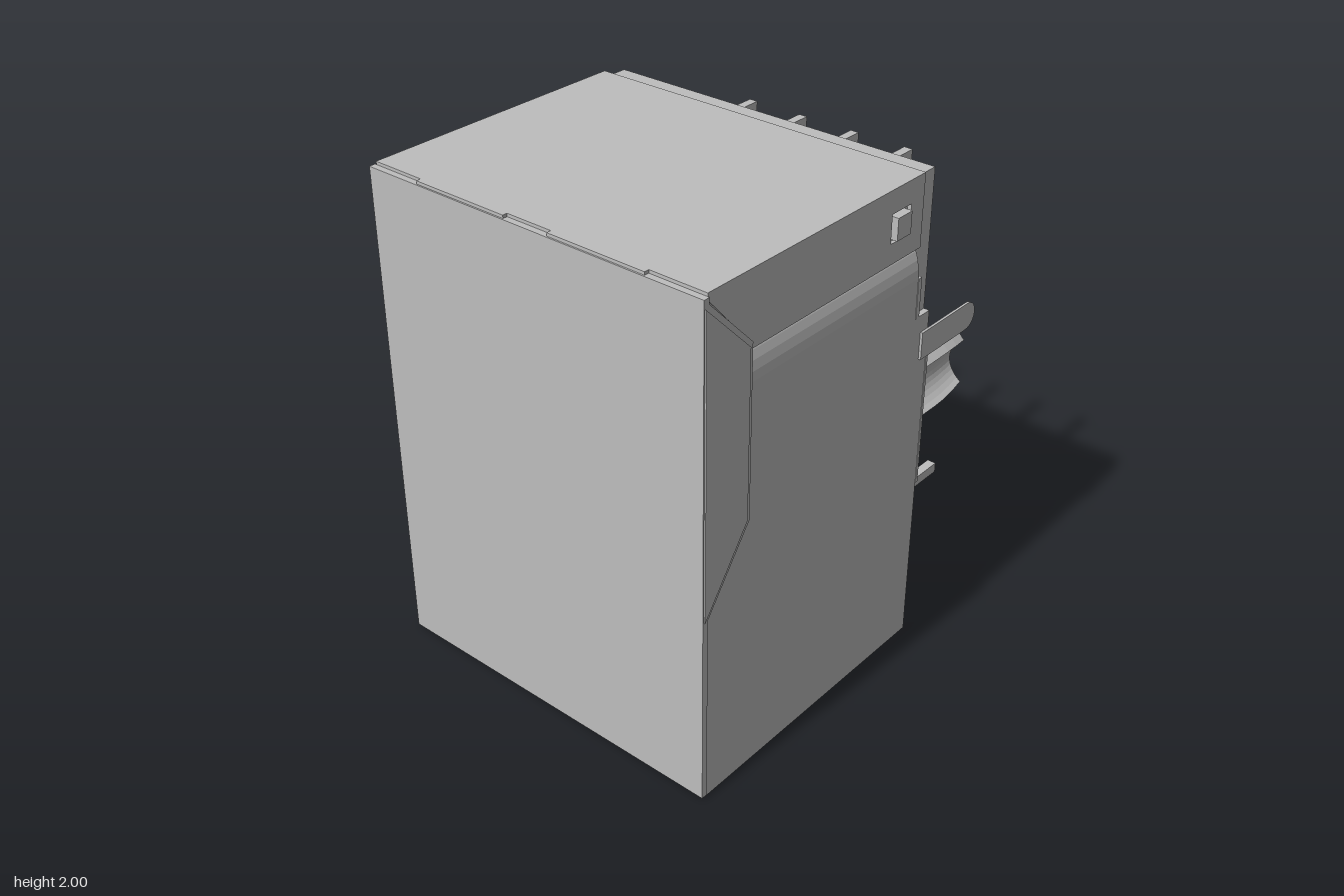
import * as THREE from 'three';

export function createModel() {
  const root = new THREE.Group();
  const grey = new THREE.MeshStandardMaterial({ color: 0xbebebe, side: THREE.DoubleSide });
  grey.name = 'plainGrey';

  const add = (name, geo) => {
    const m = new THREE.Mesh(geo, grey);
    m.name = name;
    root.add(m);
    return m;
  };
  // box given by its lower and upper limits
  const box = (name, x0, x1, y0, y1, z0, z1) => {
    const m = add(name, new THREE.BoxGeometry(x1 - x0, y1 - y0, z1 - z0));
    m.position.set((x0 + x1) / 2, (y0 + y1) / 2, (z0 + z1) / 2);
    return m;
  };
  const poly = (pts) => new THREE.Shape(pts.map(([a, b]) => new THREE.Vector2(a, b)));
  const extrude = (shape, depth, extra = {}) =>
    new THREE.ExtrudeGeometry(shape, { depth, bevelEnabled: false, curveSegments: 8, ...extra });
  // floor-plan outline in (x, z), raised from y0 to y1
  const plan = (name, pts, holes, y0, y1) => {
    const flip = (p) => p.map(([x, z]) => [x, -z]);
    const s = poly(flip(pts));
    s.holes = holes.map((h) => poly(flip(h)));
    const m = add(name, extrude(s, y1 - y0).rotateX(-Math.PI / 2));
    m.position.y = y0;
  };
  // side outline in (z, y), standing at x0 and reaching to x1
  const sidePlate = (name, shape, x0, x1) => {
    const m = add(name, extrude(shape, x1 - x0).rotateY(-Math.PI / 2));
    m.position.x = x1;
    return m;
  };

  const W = 0.738, BACK = -0.428, FRONT = 0.805;

  // plug opening with latch notch, and two indicator recesses
  const port = [[-0.58, 0.6], [0.58, 0.6], [0.58, -0.02], [0.28, -0.02], [0.28, -0.3],
    [-0.28, -0.3], [-0.28, -0.02], [-0.58, -0.02]];
  const lampHole = (s) => [[s * 0.36, -0.34], [s * 0.64, -0.34], [s * 0.64, -0.13], [s * 0.36, -0.13]];

  // lower body, with rear slots for the indicator leads
  const pinX = [-0.62, -0.38, 0.38, 0.62];
  const slotted = [[-W, FRONT], [-W, BACK]];
  pinX.forEach((x) => slotted.push([x - 0.03, BACK], [x - 0.03, BACK + 0.06], [x + 0.03, BACK + 0.06], [x + 0.03, BACK]));
  slotted.push([W, BACK], [W, FRONT]);
  plan('lowerBody', slotted, [port, lampHole(1), lampHole(-1)], 0, 0.59);
  plan('middleBody', [[-W, FRONT], [-W, BACK], [W, BACK], [W, FRONT]], [port], 0.59, 1.1);

  // upper body, whose sides curve inward beneath the lid
  const half = [[W, 1.1], [W, 1.6], [0.736, 1.635], [0.73, 1.67], [0.72, 1.7], [0.71, 1.72], [0.71, 1.985]];
  const profile = poly([...half, ...half.slice().reverse().map(([x, y]) => [-x, y])]);
  add('upperBody', extrude(profile, FRONT + 0.34)).position.z = -0.34;
  box('rearBodyLow', -W, W, 1.1, 1.44, BACK, -0.34);
  box('rearBodyHigh', -0.715, 0.715, 1.44, 1.985, BACK, -0.34);

  // lid and front plate of the shield
  box('lid', -0.735, 0.735, 1.985, 2, -0.34, 0.795);
  for (const x of [-0.305, 0.3]) box('lidTab', x - 0.205, x + 0.205, 1.978, 2, 0.78, 0.814);
  box('frontPlate', -0.742, 0.742, 0.008, 1.988, 0.795, 0.82);

  for (const s of [-1, 1]) {
    const mirror = (x0, x1) => (s > 0 ? [x0, x1] : [-x1, -x0]);

    // lid side flap with square window
    const flap = poly([[-0.34, 1.72], [0.575, 1.72], [0.6, 1.76], [0.79, 1.97], [0.79, 1.99], [-0.34, 1.99]]);
    flap.holes.push(poly([[-0.265, 1.8], [-0.155, 1.8], [-0.155, 1.91], [-0.265, 1.91]]));
    sidePlate('lidSideFlap', flap, ...mirror(0.72, 0.735));
    // catch wedge in the window
    const wedge = sidePlate('catch', poly([[-0.25, 1.81], [-0.17, 1.81], [-0.17, 1.895], [-0.25, 1.895]]), ...mirror(0.71, 0.75));
    wedge.name = 'windowCatch';

    // folded wing of the front plate, with raised rim
    const wing = [[0.815, 1.985], [0.585, 1.75], [0.585, 1.08], [0.815, 0.76]];
    sidePlate('frontWing', poly(wing), ...mirror(0.733, 0.742));
    const inner = [[0.815, 1.955], [0.602, 1.74], [0.602, 1.09], [0.815, 0.79]];
    sidePlate('frontWingFace', poly(inner), ...mirror(0.742, 0.748));

    // rear edge strip and grounding tab
    box('rearStrip', ...mirror(0.728, 0.74), 1.44, 1.6, -0.36, -0.34);
    const tab = new THREE.Shape();
    tab.moveTo(-0.38, 1.26);
    tab.lineTo(-0.38, 1.37);
    tab.lineTo(-0.675, 1.37);
    tab.absarc(-0.675, 1.315, 0.055, Math.PI / 2, Math.PI * 1.5, false);
    tab.closePath();
    sidePlate('groundTab', tab, ...mirror(0.738, 0.748));

    // rear corner fold with a scooped edge
    const fold = new THREE.Shape();
    fold.moveTo(s * 0.74, 0.7);
    fold.lineTo(s * 0.74, 1.26);
    fold.lineTo(s * 0.62, 1.24);
    fold.quadraticCurveTo(s * 0.7, 1.03, s * 0.62, 0.84);
    fold.lineTo(s * 0.7, 0.84);
    fold.lineTo(s * 0.7, 0.7);
    fold.closePath();
    add('rearCornerFold', extrude(fold, 0.012)).position.z = -0.44;

    // standoff rib behind the peg
    box('rearRib', s * 0.54 - 0.018, s * 0.54 + 0.018, 0.7, 1.36, -0.446, BACK);

    // four-cornered scalloped peg, tapering to the tip
    const star = new THREE.Shape();
    const r = 0.14, c = 0.105, d = 0.015;
    star.moveTo(c, r);
    for (let k = 0; k < 4; k++) {
      const a = k * Math.PI / 2, co = Math.cos(a), si = Math.sin(a);
      const at = (x, y) => [x * co - y * si, x * si + y * co];
      star.bezierCurveTo(...at(0.05, d + 0.04), ...at(-0.05, d + 0.04), ...at(-c, r));
      star.lineTo(...at(-r, c));
    }
    const peg = extrude(star, 0.4, { steps: 6, curveSegments: 12 });
    const p = peg.attributes.position;
    for (let i = 0; i < p.count; i++) {
      const t = Math.max(0, (p.getZ(i) - 0.2) / 0.2);
      const k = 1 - 0.12 * t * t;
      p.setXY(i, p.getX(i) * k, p.getY(i) * k);
    }
    peg.computeVertexNormals();
    peg.rotateY(Math.PI);
    add('mountingPeg', peg).position.set(s * 0.54, 1.03, -0.42);

    // indicator lamp and inner spring finger
    box('indicatorLamp', s * 0.5 - 0.11, s * 0.5 + 0.11, 0.05, 0.55, -0.32, -0.15);
    const finger = new THREE.Shape();
    finger.moveTo(s * 0.58, 0.01);
    finger.quadraticCurveTo(s * 0.5, 0.12, s * 0.47, 0.26);
    finger.quadraticCurveTo(s * 0.47, 0.38, s * 0.57, 0.52);
    finger.lineTo(s * 0.58, 0.52);
    finger.quadraticCurveTo(s * 0.49, 0.38, s * 0.485, 0.26);
    finger.quadraticCurveTo(s * 0.52, 0.12, s * 0.59, 0.01);
    add('springFinger', extrude(finger, 0.2)).position.z = 0.15;
  }

  // shield strip across the bottom of the back
  box('rearBottomStrip', -0.7, 0.7, 0.005, 0.26, -0.44, BACK);

  // two staggered rows of signal pins, and the indicator leads
  const pin = (name, x, y, end) => box(name, x - 0.018, x + 0.018, y - 0.02, y + 0.02, end, -0.36);
  for (let i = 0; i < 4; i++) {
    pin('signalPin', 0.42 - i * 0.24, 1.86, -0.713);
    pin('signalPin', 0.3 - i * 0.24, 1.625, -0.713);
    pin('indicatorLead', pinX[i], 0.57, -0.733);
    box('indicatorLeadDrop', pinX[i] - 0.018, pinX[i] + 0.018, 0.1, 0.58, -0.41, -0.37);
  }

  // eight bent contact wires inside the port
  for (let i = 0; i < 8; i++) {
    const x = -0.35 + i * 0.1;
    const path = new THREE.CatmullRomCurve3([[0.57, 0.9], [0.56, 0.4], [0.52, 0.27], [0.44, 0.3], [0.12, 0.7]]
      .map(([z, y]) => new THREE.Vector3(x, y, z)));
    add('contactWire', new THREE.TubeGeometry(path, 20, 0.018, 8));
  }
  return root;
}
